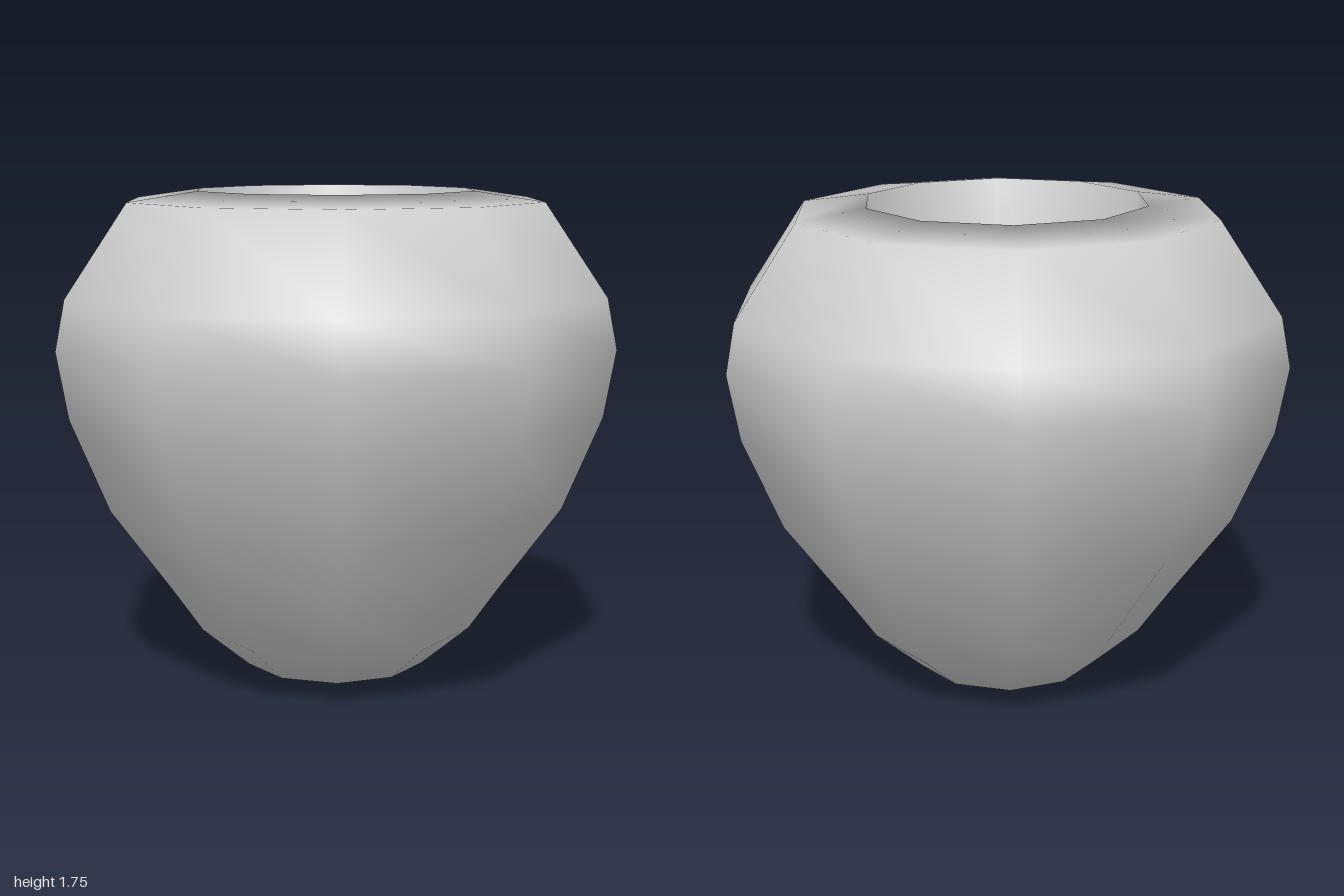
import * as THREE from 'three';

const SIDES = 10;

export function createModel() {
  const group = new THREE.Group();
  group.name = 'pot';

  // One continuous section: base, outer wall, rim, then down the cavity
  const section = [
    // rounded base and swelling outer wall
    [0, 0], [0.33, 0.055], [0.5, 0.2], [0.61, 0.36], [0.825, 0.66],
    [0.96, 0.99], [1, 1.225], [0.965, 1.4],
    // shoulder and rim
    [0.745, 1.72], [0.5, 1.755],
    // cavity wall and bowl-shaped floor
    [0.46, 0.9], [0.36, 0.5], [0.2, 0.36], [0, 0.3],
  ].map(([r, y]) => new THREE.Vector2(r, y));

  const body = new THREE.Mesh(
    new THREE.LatheGeometry(section, SIDES),
    new THREE.MeshStandardMaterial({ color: 0xcccccc })
  );
  body.name = 'potBody';
  group.add(body);
  return group;
}
